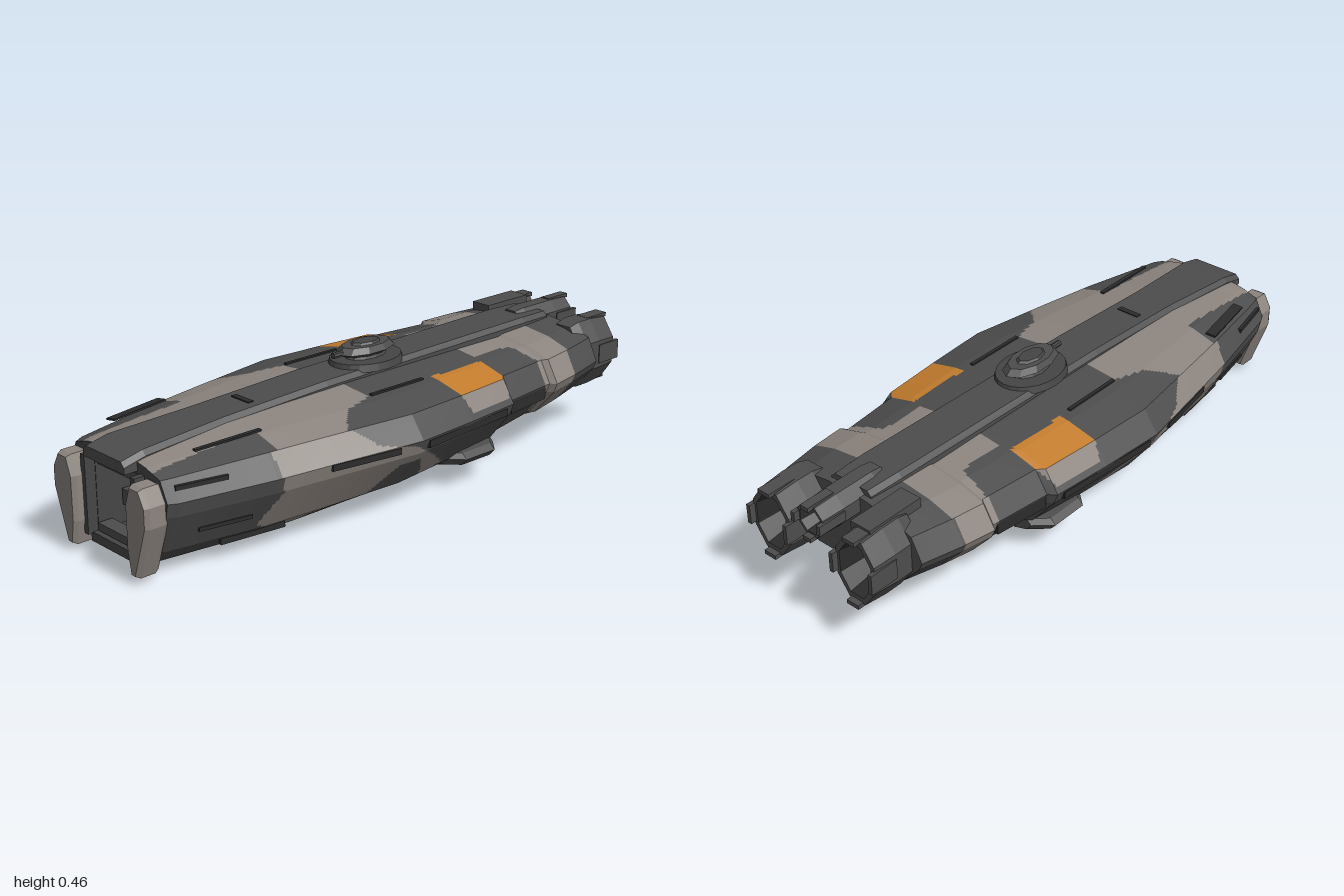
import * as THREE from 'three';

const mat = (name, color) => Object.assign(new THREE.MeshStandardMaterial({ color, flatShading: true }), { name });
const SUB = 12;

// Hull stations from bow to stern: z, half width, roof y, widest y, floor y
const STATIONS = [
  [0.93, 0.235, 0.345, 0.25, 0.03], [0.9, 0.25, 0.35, 0.25, 0.025], [0.6, 0.315, 0.365, 0.255, 0.02],
  [0.4, 0.35, 0.37, 0.26, 0.025], [0.1, 0.4, 0.375, 0.265, 0.04], [-0.13, 0.385, 0.375, 0.265, 0.055],
  [-0.34, 0.365, 0.375, 0.265, 0.075], [-0.36, 0.34, 0.375, 0.265, 0.08], [-0.57, 0.315, 0.375, 0.265, 0.105],
  [-0.585, 0.335, 0.38, 0.265, 0.105], [-0.7, 0.32, 0.385, 0.27, 0.12], [-0.84, 0.29, 0.39, 0.275, 0.14],
];

// Camouflage outlines: roof and belly as (|x|, z), flanks as (z, y)
const ROOF_LIGHT = [
  [[0.08, -0.7], [0.36, -0.7], [0.36, -0.57], [0.16, -0.53], [0.16, -0.37], [0.08, -0.37]],
  [[0.08, 0.14], [0.2, 0.14], [0.23, 0.25], [0.38, 0.4], [0.34, 0.57], [0.17, 0.57], [0.17, 0.94], [0.08, 0.94]],
];
const ROOF_ORANGE = [[[0.2, -0.36], [0.36, -0.36], [0.36, -0.13], [0.2, -0.13]]];
const BELLY_LIGHT = [
  [[0.11, 0.47], [0.2, 0.52], [0.2, 0.08], [0.14, 0.15]],
  [[0.12, -0.57], [0.3, -0.57], [0.3, -0.7], [0.12, -0.7]],
];
const FLANK_LIGHT = [
  [[0.6, 0.37], [0.57, 0.2], [0.62, 0.1], [0.5, 0.02], [0.1, 0.02], [0, 0.08], [-0.08, 0.12], [0, 0.18], [0.12, 0.25], [0.25, 0.28], [0.36, 0.37]],
  [[-0.55, 0.4], [-0.55, 0.16], [-0.58, 0.09], [-0.7, 0.09], [-0.69, 0.4]],
  [[-0.12, 0.36], [-0.15, 0.28], [-0.33, 0.28], [-0.37, 0.36]],
];
const FLANK_DARK = [[[0.22, 0.09], [0.15, 0.19], [0.07, 0.19], [0, 0.09]]];

const inside = (polys, x, y) => polys.some(p => {
  let hit = false;
  p.forEach(([x1, y1], i) => {
    const [x2, y2] = p[(i + 1) % p.length];
    if ((y1 > y) !== (y2 > y) && x < x1 + (x2 - x1) * (y - y1) / (y2 - y1)) hit = !hit;
  });
  return hit;
});

function station(z) {
  let i = 0;
  while (i < STATIONS.length - 2 && z < STATIONS[i + 1][0]) i++;
  const a = STATIONS[i], b = STATIONS[i + 1], t = (z - a[0]) / (b[0] - a[0]);
  return a.map((v, k) => v + (b[k] - v) * t);
}

function profile([, w, T, M, B]) {
  const h = M - B;
  return [[0, T], [0.24 * w, T], [0.6 * w, T - 0.014], [0.87 * w, M + 0.65 * (T - M)], [w, M],
    [0.96 * w, M - 0.2 * h], [0.73 * w, M - 0.75 * h], [0.47 * w, B], [0, B]];
}

// Flank position at a given z and y
function flankX(z, y) {
  const p = profile(station(z)).slice(3, 8);
  for (let i = 0; i < p.length - 1; i++)
    if (y <= p[i][1] && y >= p[i + 1][1])
      return p[i][0] + (p[i + 1][0] - p[i][0]) * (p[i][1] - y) / (p[i][1] - p[i + 1][1]);
  return p[0][0];
}

// Half outline, top to bottom, becomes a full mirrored ring at z
function ring(half, z, sub = 1) {
  const pts = [];
  for (let i = 0; i < half.length - 1; i++)
    for (let k = 0; k < sub; k++) {
      const t = k / sub;
      pts.push([half[i][0] * (1 - t) + half[i + 1][0] * t, half[i][1] * (1 - t) + half[i + 1][1] * t]);
    }
  pts.push(half[half.length - 1]);
  const mirrored = pts.slice(1, -1).reverse().map(([x, y]) => [-x, y]);
  return [...pts, ...mirrored].map(([x, y]) => new THREE.Vector3(x, y, z));
}

// Skin a row of rings; pick chooses the material of each face
function loft(rings, materials, { pick = () => 0, start = true, end = true } = {}) {
  const lists = materials.map(() => []);
  const tri = (m, ...v) => v.forEach(p => lists[m].push(p.x, p.y, p.z));
  const n = rings[0].length;
  for (let i = 0; i < rings.length - 1; i++)
    for (let j = 0; j < n; j++) {
      const k = (j + 1) % n, a = rings[i][j], b = rings[i][k], c = rings[i + 1][j], d = rings[i + 1][k];
      const m = pick(a.clone().add(b).add(c).add(d).multiplyScalar(0.25), j);
      tri(m, a, b, c);
      tri(m, b, d, c);
    }
  const cap = (r, front) => {
    const mid = r.reduce((s, p) => s.add(p), new THREE.Vector3()).divideScalar(n);
    r.forEach((p, j) => front ? tri(0, mid, r[(j + 1) % n], p) : tri(0, mid, p, r[(j + 1) % n]));
  };
  if (start) cap(rings[0], true);
  if (end) cap(rings[rings.length - 1], false);
  const geo = new THREE.BufferGeometry();
  geo.setAttribute('position', new THREE.Float32BufferAttribute(lists.flat(), 3));
  let at = 0;
  lists.forEach((l, m) => { geo.addGroup(at, l.length / 3, m); at += l.length / 3; });
  geo.computeVertexNormals();
  return new THREE.Mesh(geo, materials);
}

export function createModel() {
  const ship = new THREE.Group();
  const dark = mat('darkGrey', 0x4d4d4d), light = mat('warmGrey', 0x8c847e);
  const orange = mat('orange', 0xc47d2d), black = mat('nearBlack', 0x2c2c2c), steel = mat('midGrey', 0x454545);
  const add = (name, mesh, parent = ship) => { mesh.name = name; parent.add(mesh); return mesh; };
  const box = (name, m, w, h, d, x, y, z, parent) => {
    const b = add(name, new THREE.Mesh(new THREE.BoxGeometry(w, h, d), m), parent);
    b.position.set(x, y, z);
    return b;
  };

  // Camouflaged hull
  const rings = [];
  STATIONS.forEach((s, i) => {
    const next = STATIONS[i + 1];
    const n = next ? Math.ceil((s[0] - next[0]) / 0.008) : 1;
    for (let k = 0; k < n; k++) {
      const z = next ? s[0] + (next[0] - s[0]) * k / n : s[0];
      rings.push(ring(profile(station(z)), z, SUB));
    }
  });
  const half = 8 * SUB;
  const camo = (c, j) => {
    const seg = Math.floor((j < half ? j : 2 * half - 1 - j) / SUB), x = Math.abs(c.x);
    if (seg < 3) return inside(ROOF_ORANGE, x, c.z) ? 2 : inside(ROOF_LIGHT, x, c.z) ? 1 : 0;
    if (seg === 7) return inside(BELLY_LIGHT, x, c.z) ? 1 : 0;
    return inside(FLANK_LIGHT, c.z, c.y) && !inside(FLANK_DARK, c.z, c.y) ? 1 : 0;
  };
  add('hull', loft(rings, [dark, light, orange], { pick: camo, start: false }));

  // Bow hangar recess with its frame and decks
  const mouth = [[0, 0.3], [0.06, 0.3], [0.11, 0.3], [0.11, 0.26], [0.11, 0.21], [0.11, 0.16], [0.11, 0.11], [0.11, 0.06], [0, 0.06]];
  add('hangarMouth', loft([ring(mouth, 0.72), ring(mouth, 0.93), ring(profile(STATIONS[0]), 0.93)], [steel], { end: false }));
  [[0.285, 0.03, 0.9], [0.235, 0.06, 0.8], [0.145, 0.05, 0.82], [0.075, 0.025, 0.91]].forEach(([y, h, z]) =>
    box('hangarDeck', dark, 0.21, h, 0.05, 0, y, z));
  box('hangarSlot', black, 0.21, 0.03, 0.02, 0, 0.187, 0.8);

  // Raised spine along the roof: z, half width, top y
  add('spine', loft([[0.975, 0.1, 0.345], [0.9, 0.1, 0.362], [0.6, 0.085, 0.378], [0.2, 0.085, 0.395], [-0.7, 0.085, 0.41], [-0.82, 0.08, 0.408]]
    .map(([z, w, t]) => ring([[0, t], [w - 0.015, t], [w, t - 0.015], [w, 0.31], [0, 0.31]], z)), [dark]));
  box('roofHatch', black, 0.08, 0.006, 0.02, 0, 0.384, 0.47);

  // Keel below the belly: z, half width, floor y
  add('keel', loft([[0.74, 0.085, 0.03], [0.68, 0.075, 0], [-0.28, 0.075, 0.045], [-0.34, 0.085, 0.07]]
    .map(([z, w, b]) => ring([[0, 0.1], [0.1, 0.1], [0.1, b + 0.02], [w, b], [0, b]], z)), [steel]));
  box('bowLip', steel, 0.24, 0.03, 0.06, 0, 0.045, 0.92);

  // Parts repeated on both sides
  const cheek = new THREE.Shape([[0.135, 0.24], [0.155, 0.295], [0.195, 0.295], [0.22, 0.25], [0.22, 0.19], [0.165, 0.03], [0.148, 0.03], [0.135, 0.1]]
    .map(p => new THREE.Vector2(...p)));
  const cheekGeo = new THREE.ExtrudeGeometry(cheek, { depth: 0.05, bevelEnabled: true, bevelSize: 0.008, bevelThickness: 0.015, bevelSegments: 1 });
  const slots = [[0.42, 0.18, 0.25, 0.02], [0.07, -0.31, 0.245, 0.024], [-0.36, -0.55, 0.24, 0.045], [0.9, 0.74, 0.29, 0.014], [0.82, 0.65, 0.14, 0.012], [0.72, 0.5, 0.065, 0.03]];
  for (const s of [1, -1]) {
    const side = add(s > 0 ? 'leftSide' : 'rightSide', new THREE.Group());
    side.scale.x = s;
    add('bowCheek', new THREE.Mesh(cheekGeo, light), side).position.z = 0.935;
    box('cheekPost', steel, 0.02, 0.25, 0.05, 0.122, 0.18, 0.94, side);

    // Recessed dark strips along the flank
    for (const [z1, z2, y, h] of slots) {
      const x1 = flankX(z1, y), x2 = flankX(z2, y);
      const strip = box('flankSlot', black, 0.014, h, Math.hypot(z1 - z2, x1 - x2), (x1 + x2) / 2, y, (z1 + z2) / 2, side);
      strip.rotation.y = Math.atan2(x1 - x2, z1 - z2);
    }

    // Lower sponson
    add('sponson', loft([[-0.12, 0.27], [-0.17, 0.325], [-0.3, 0.325], [-0.35, 0.27]].map(([z, x]) =>
      [[0.2, 0.135], [x - 0.02, 0.125], [x, 0.108], [x - 0.02, 0.085], [0.2, 0.07]].map(([a, b]) => new THREE.Vector3(a, b, z))), [dark]), side);

    // Roof slits
    box('roofSlit', black, 0.012, 0.006, 0.22, 0.2, 0.367, 0.02, side);
  }
  box('leftRoofSlit', black, 0.014, 0.006, 0.24, 0.178, 0.357, 0.67);
  box('rightRoofSlit', black, 0.035, 0.006, 0.22, -0.235, 0.343, 0.69).rotation.set(0, 0.18, 0.12);

  // Eight-sided engine with hollow nozzle and outer petals
  const engine = (name, x, y, rx, ry, zFront) => {
    const g = add(name, new THREE.Group());
    g.position.set(x, y, 0);
    const oct = (k, z) => Array.from({ length: 8 }, (_, i) => {
      const a = (i + 0.5) * Math.PI / 4;
      return new THREE.Vector3(Math.sin(a) * rx * k, Math.cos(a) * ry * k, z);
    });
    add('casing', loft([oct(0.95, zFront), oct(1.05, zFront - 0.04), oct(1.05, -0.9), oct(0.98, -0.98), oct(0.8, -0.98)], [dark], { end: false }), g);
    add('nozzle', loft([oct(0.8, -0.98), oct(0.62, -0.89)], [black], { start: false }), g);
    for (let i = 0; i < 8; i += 2) {
      const a = i * Math.PI / 4, across = i % 4 ? ry : rx;
      const petal = box('petal', dark, across * 0.55, 0.014, 0.1, Math.sin(a) * rx * 0.92, Math.cos(a) * ry * 0.92, -0.95, g);
      petal.rotation.z = -a;
    }
  };
  engine('leftEngine', 0.17, 0.277, 0.083, 0.12, -0.8);
  engine('rightEngine', -0.17, 0.277, 0.083, 0.12, -0.8);
  engine('centreEngine', 0, 0.365, 0.056, 0.058, -0.72);
  box('engineFairing', dark, 0.075, 0.04, 0.2, -0.158, 0.382, -0.84);

  // Roof turret
  const turret = add('turret', new THREE.Group());
  turret.position.z = -0.035;
  const disc = (name, m, r1, r2, h, y, stretch, sides) => {
    const d = add(name, new THREE.Mesh(new THREE.CylinderGeometry(r1, r2, h, sides), m), turret);
    d.position.y = y;
    d.scale.z = stretch;
  };
  disc('turretRing', steel, 0.098, 0.104, 0.024, 0.4, 1.3, 24);
  disc('turretNeck', dark, 0.045, 0.05, 0.014, 0.416, 1.6, 12);
  disc('turretBody', dark, 0.061, 0.046, 0.012, 0.427, 1.9, 10);
  disc('turretRoof', dark, 0.05, 0.061, 0.02, 0.443, 1.9, 10);
  disc('turretCap', steel, 0.028, 0.034, 0.008, 0.456, 1.8, 8);
  const barrel = add('turretBarrel', new THREE.Mesh(new THREE.CylinderGeometry(0.01, 0.01, 0.09, 8), steel), turret);
  barrel.rotation.x = Math.PI / 2;
  barrel.position.set(0, 0.436, 0.095);
  return ship;
}
